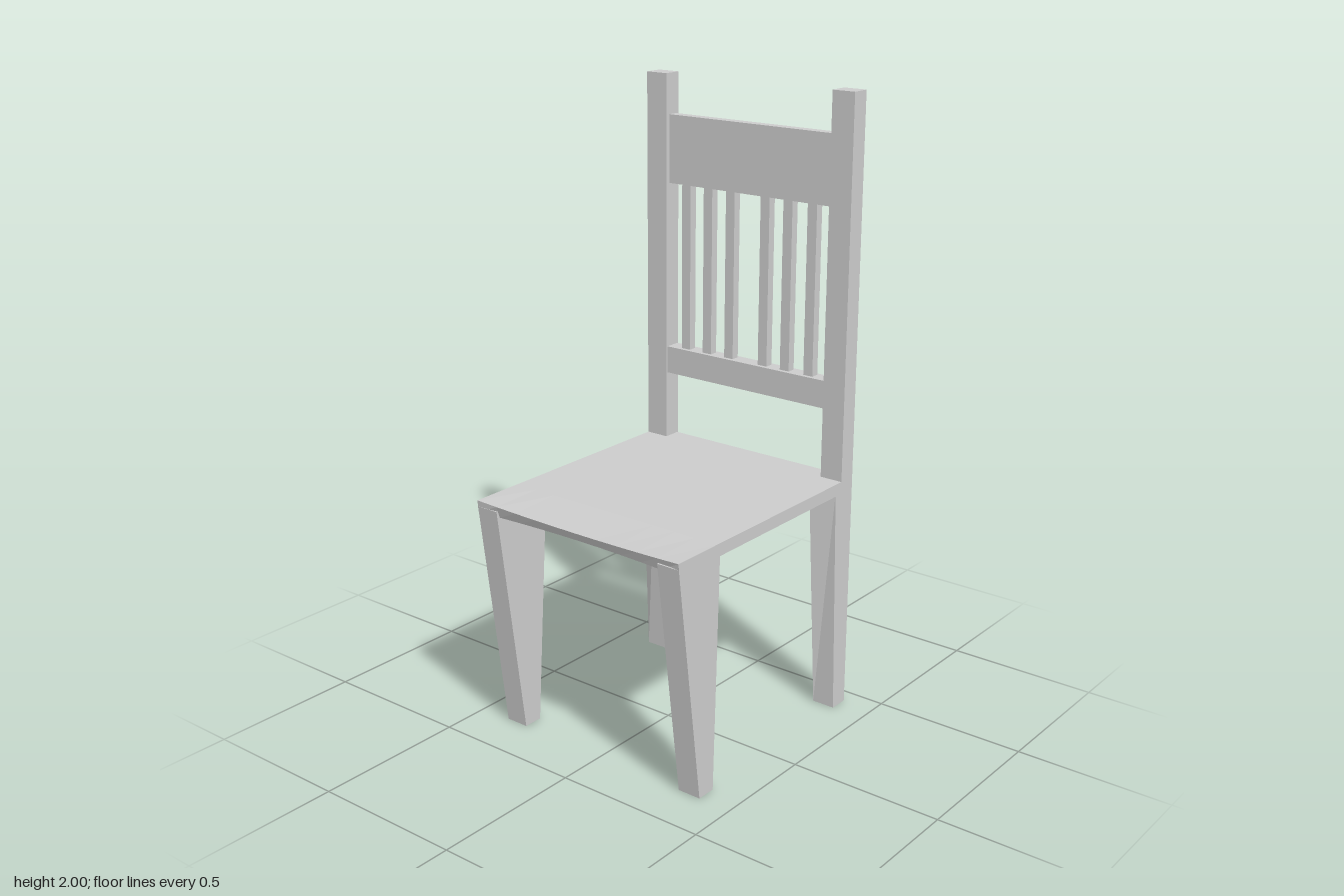
import * as THREE from 'three';

const material = new THREE.MeshStandardMaterial({ color: 0xcccccc, flatShading: true });

export function createModel() {
  const group = new THREE.Group();

  const add = (name, geometry) => {
    const mesh = new THREE.Mesh(geometry, material);
    mesh.name = name;
    group.add(mesh);
  };

  // Box given by its limits on each axis
  const block = (x0, x1, y0, y1, z0, z1, segX = 1, segZ = 1) =>
    new THREE.BoxGeometry(x1 - x0, y1 - y0, z1 - z0, segX, 1, segZ)
      .translate((x0 + x1) / 2, (y0 + y1) / 2, (z0 + z1) / 2);

  // Move every vertex by a rule
  const reshape = (geometry, rule) => {
    const p = geometry.attributes.position;
    const v = new THREE.Vector3();
    for (let i = 0; i < p.count; i++) {
      rule(v.fromBufferAttribute(p, i));
      p.setXYZ(i, v.x, v.y, v.z);
    }
    geometry.computeVertexNormals();
    return geometry;
  };

  // Seat: front edge dips slightly in the middle and is undercut
  add('seat', reshape(block(-0.39, 0.39, 0.75, 0.79, -0.44, 0.44, 10, 5), (v) => {
    if (v.z < 0.4) return;
    const s = 1 - (v.x / 0.39) ** 2;
    const top = v.y > 0.77;
    v.y -= (top ? 0.01 : 0.005) * s;
    v.z = top ? 0.443 - 0.006 * s : 0.438 - 0.028 * s;
  }));

  for (const side of [-1, 1]) {
    const label = side > 0 ? 'left' : 'right';
    const xs = [0.312 * side, 0.39 * side].sort((a, b) => a - b);
    const inner = (v) => Math.abs(v.x) < 0.35;

    // Front leg: flares upward, rear face twisted inward at the top
    add(label + 'FrontLeg', reshape(block(...xs, 0, 0.77, 0.275, 0.34), (v) => {
      if (v.y < 0.5) return;
      v.z = v.z > 0.3 ? 0.441 : inner(v) ? 0.22 : 0.25;
    }));

    // Back leg: straight behind, front face flares toward the seat
    add(label + 'BackLeg', reshape(block(...xs, 0, 0.76, -0.443, -0.378), (v) => {
      if (v.y > 0.5 && v.z > -0.4) v.z = inner(v) ? -0.32 : -0.35;
    }));

    // Backrest post
    add(label + 'Post', block(...xs, 0.75, 2, -0.443, -0.381));
  }

  // Backrest rails
  add('upperRail', block(-0.312, 0.312, 1.65, 1.87, -0.431, -0.397));
  add('lowerRail', block(-0.312, 0.312, 1.015, 1.105, -0.44, -0.386));

  // Two groups of three slats with a wider gap in the middle
  for (const x of [-0.245, -0.158, -0.07, 0.064, 0.15, 0.24]) {
    add('slat', block(x - 0.017, x + 0.017, 1.1, 1.655, -0.428, -0.4));
  }

  return group;
}
